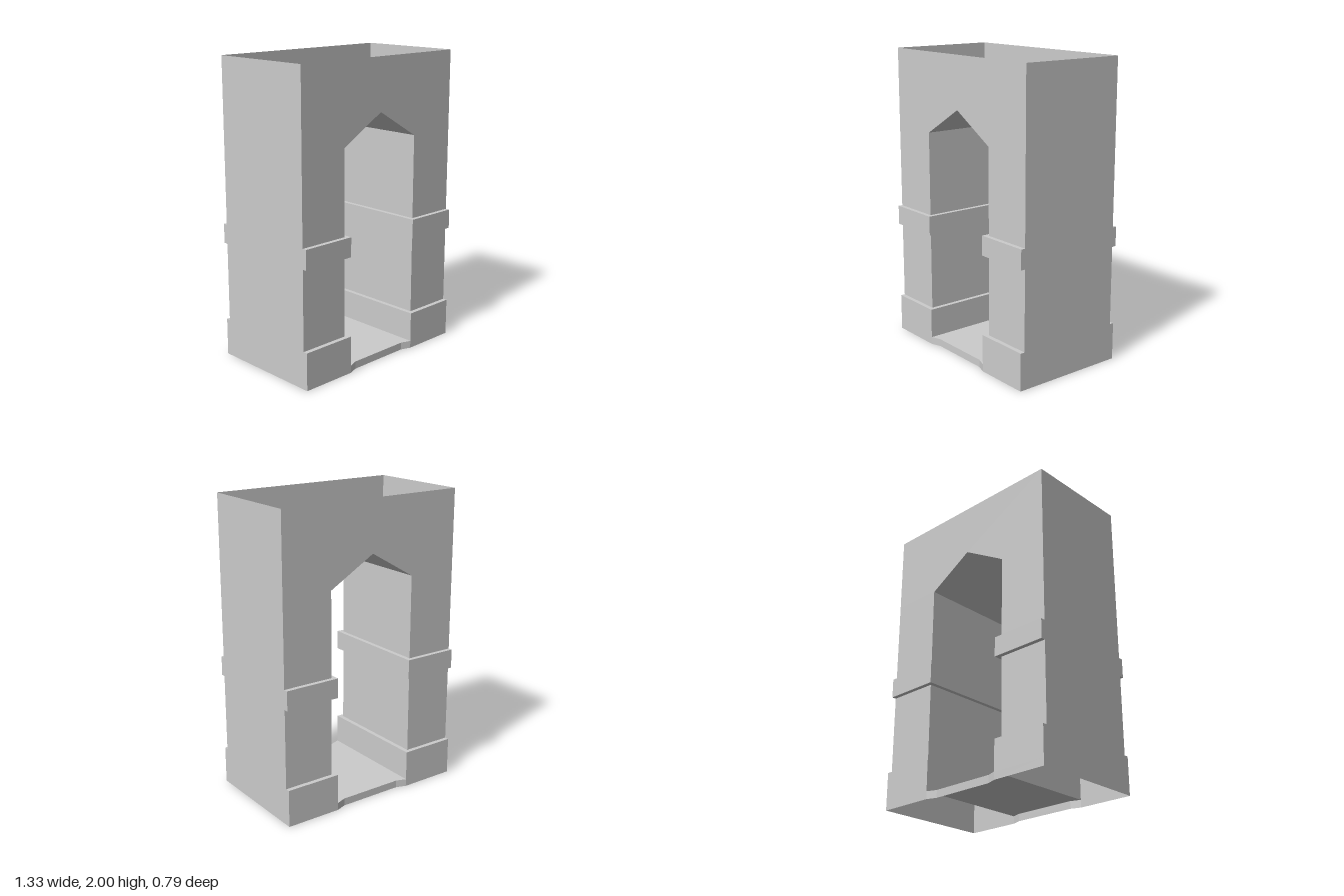
import * as THREE from 'three';

const HALF_W = 0.665;   // outer half width
const FACE_Z = 0.367;   // main wall plane
const DOOR_X = 0.317;   // passage half width
const STEP = 0.03;      // how far plinth and band stand out
const FLOOR_Y = 0.05, SPRING_Y = 1.47, APEX_Y = 1.655, TOP_Y = 2;

const material = new THREE.MeshStandardMaterial({
  color: 0xcccccc, flatShading: true, side: THREE.DoubleSide,
});

// Skins successive rows of [x, y, z] points with flat, unshared quads.
function skin(rows) {
  const pos = [];
  for (let i = 0; i < rows.length - 1; i++) {
    for (let j = 0; j < rows[i].length - 1; j++) {
      const a = rows[i][j], b = rows[i][j + 1];
      const c = rows[i + 1][j + 1], d = rows[i + 1][j];
      pos.push(...a, ...b, ...c, ...a, ...c, ...d);
    }
  }
  const g = new THREE.BufferGeometry();
  g.setAttribute('position', new THREE.Float32BufferAttribute(pos, 3));
  g.computeVertexNormals();
  return g;
}

const flat = (pts) => new THREE.ShapeGeometry(
  new THREE.Shape(pts.map(([x, y]) => new THREE.Vector2(x, y))));

export function createModel() {
  const model = new THREE.Group();
  model.name = 'gateway';
  const add = (name, geometry, parent = model) => {
    const mesh = new THREE.Mesh(geometry, material);
    mesh.name = name;
    parent.add(mesh);
    return mesh;
  };

  // Stepped wall section, [offset, height]: plinth, wall, band, wall
  const section = [
    [STEP, FLOOR_Y], [STEP, 0.25], [0, 0.25], [0, 0.78],
    [STEP, 0.78], [STEP, 0.91], [0, 0.91], [0, SPRING_Y],
  ];
  // Section carried round the back, the passage side and the front of a pier
  const pierRows = section.map(([d, y]) => [
    [HALF_W, y, -FACE_Z - d], [DOOR_X - d, y, -FACE_Z - d],
    [DOOR_X - d, y, FACE_Z + d], [HALF_W, y, FACE_Z + d],
  ]);
  const pierGeometry = skin(pierRows);

  // Outer side wall, widened where the plinth and band project
  const edge = [[STEP, 0], ...section.slice(1), [0, TOP_Y]];
  const sideGeometry = flat([
    ...edge.map(([d, y]) => [FACE_Z + d, y]),
    ...edge.map(([d, y]) => [-FACE_Z - d, y]).reverse(),
  ]);
  sideGeometry.rotateY(Math.PI / 2).translate(HALF_W, 0, 0);

  // Wall over the pointed opening
  const gableGeometry = flat([
    [-HALF_W, SPRING_Y], [-DOOR_X, SPRING_Y], [0, APEX_Y], [DOOR_X, SPRING_Y],
    [HALF_W, SPRING_Y], [HALF_W, TOP_Y], [-HALF_W, TOP_Y],
  ]);
  gableGeometry.translate(0, 0, FACE_Z);

  // Foot of the facade, with the threshold set back between the plinths
  const plinthX = DOOR_X - STEP, plinthZ = FACE_Z + STEP;
  const sill = [[-plinthX, plinthZ], [-0.22, 0.373], [0.22, 0.373], [plinthX, plinthZ]];
  const foot = [[-HALF_W, plinthZ], ...sill, [HALF_W, plinthZ]];
  const footGeometry = skin([0, FLOOR_Y].map((y) => foot.map(([x, z]) => [x, y, z])));

  // Each half turn gives the opposite pier, side and facade
  [['left', 'front', 0], ['right', 'back', Math.PI]].forEach(([side, face, turn]) => {
    add(`${side}Pier`, pierGeometry).rotation.y = turn;
    add(`${side}SideWall`, sideGeometry).rotation.y = turn;
    add(`${face}UpperWall`, gableGeometry).rotation.y = turn;
    add(`${face}Foot`, footGeometry).rotation.y = turn;
  });

  // Pointed passage ceiling
  add('passageCeiling', skin([FACE_Z, -FACE_Z].map((z) => [
    [DOOR_X, SPRING_Y, z], [0, APEX_Y, z], [-DOOR_X, SPRING_Y, z],
  ]).reverse()));

  // Passage floor
  const floorGeometry = flat([...sill, ...sill.map(([x, z]) => [-x, -z])]);
  floorGeometry.rotateX(-Math.PI / 2).translate(0, FLOOR_Y, 0);
  add('passageFloor', floorGeometry);

  return model;
}
